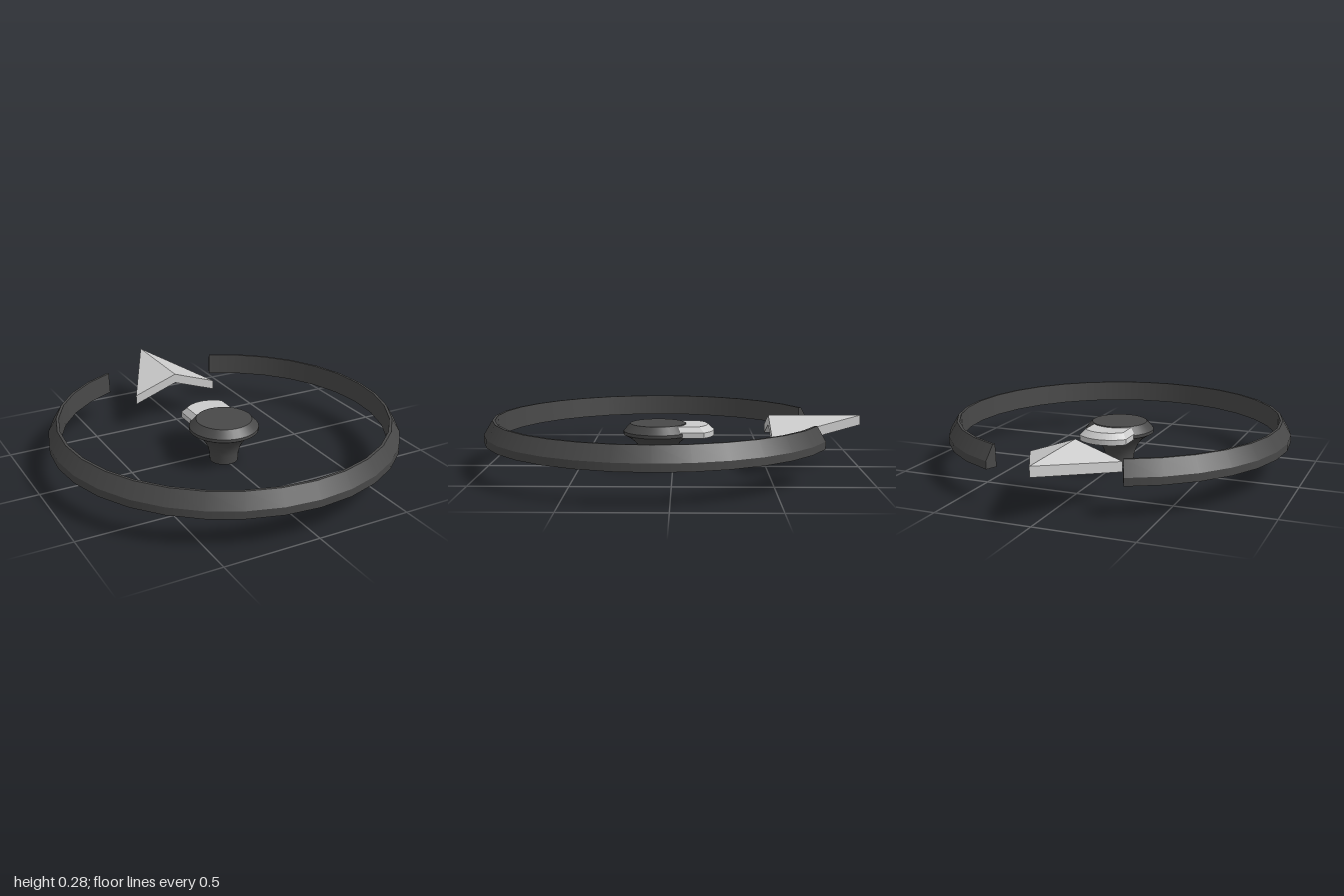
import * as THREE from 'three';
import { mergeGeometries } from 'three/addons/utils/BufferGeometryUtils.js';

const CENTRE_Z = 0.08;
const dark = new THREE.MeshStandardMaterial({ color: 0x484848 });
const darkDouble = new THREE.MeshStandardMaterial({ color: 0x484848, side: THREE.DoubleSide });
const grey = new THREE.MeshStandardMaterial({ color: 0xcccccc });

const vec = (points) => points.map(([x, y]) => new THREE.Vector2(x, y));

function addMesh(parent, name, geometry, material) {
  const mesh = new THREE.Mesh(geometry, material);
  mesh.name = name;
  parent.add(mesh);
  return mesh;
}

// Each band is smooth; borders between bands stay sharp
function latheBands(bands, segments, start = 0, length = Math.PI * 2) {
  return mergeGeometries(bands.map((b) => new THREE.LatheGeometry(vec(b), segments, start, length)));
}

// Open ring with a gap at the back
function createRing() {
  const ring = new THREE.Group();
  ring.name = 'ring';
  const section = [[0.853, 0.16], [0.917, 0.16], [0.917, 0.2], [0.872, 0.275], [0.858, 0.275]];
  const bands = section.map((p, i) => [p, section[(i + 1) % section.length]]);
  const end = Math.PI * 7 / 8;
  addMesh(ring, 'ringBand', latheBands(bands, 28, -end, end * 2), dark);
  for (const phi of [-end, end]) {
    const cap = addMesh(ring, 'ringEnd', new THREE.ShapeGeometry(new THREE.Shape(vec(section))), darkDouble);
    cap.rotation.y = phi - Math.PI / 2;
  }
  ring.position.z = CENTRE_Z;
  return ring;
}

// Flared thumbstick with a bevelled cap
function createStick() {
  const flare = [[0.075, 0], [0.079, 0.05], [0.088, 0.08], [0.102, 0.11], [0.123, 0.138], [0.15, 0.16], [0.185, 0.18]];
  const bands = [
    [[0, 0], [0.075, 0]],
    flare,
    [[0.185, 0.18], [0.185, 0.197]],
    [[0.185, 0.197], [0.148, 0.237]],
    [[0.148, 0.237], [0, 0.237]],
  ];
  const stick = new THREE.Mesh(latheBands(bands, 32), dark);
  stick.name = 'stick';
  stick.position.z = CENTRE_Z;
  return stick;
}

// Rounded tab behind the cap, its top layer drawn in to form a bevel
function createTab() {
  const angle = Math.acos(0.13 / 0.18);
  const shape = new THREE.Shape();
  shape.moveTo(-0.13, -0.04);
  shape.lineTo(0.13, -0.04);
  shape.absarc(0, 0, 0.18, angle, Math.PI - angle, false);
  shape.closePath();
  const geometry = new THREE.ExtrudeGeometry(shape, { depth: 0.058, steps: 2, bevelEnabled: false, curveSegments: 8 });
  const pos = geometry.attributes.position;
  for (let i = 0; i < pos.count; i++) {
    if (pos.getZ(i) > 0.05) pos.setXY(i, pos.getX(i) * 0.82, pos.getY(i) * 0.82);
  }
  geometry.computeVertexNormals();
  geometry.rotateX(-Math.PI / 2);
  geometry.translate(0, 0.175, -0.04);
  const tab = new THREE.Mesh(geometry, grey);
  tab.name = 'tab';
  return tab;
}

// Folded arrowhead: a chevron section tapering to a vertical edge at the tip
function createArrow() {
  const slope = 0.35, half = 0.247, length = 0.49, thick = 0.052;
  const drop = slope * half;
  const shape = new THREE.Shape(vec([
    [-half, -drop - thick], [0, -thick], [half, -drop - thick], [half, -drop], [0, 0], [-half, -drop],
  ]));
  const geometry = new THREE.ExtrudeGeometry(shape, { depth: length, bevelEnabled: false });
  const pos = geometry.attributes.position;
  for (let i = 0; i < pos.count; i++) {
    const x = pos.getX(i);
    const tapered = x * pos.getZ(i) / length;
    pos.setXY(i, tapered, pos.getY(i) + slope * (Math.abs(x) - Math.abs(tapered)));
  }
  geometry.computeVertexNormals();
  geometry.translate(0, 0.281, -1);
  const arrow = new THREE.Mesh(geometry, grey);
  arrow.name = 'arrow';
  return arrow;
}

export function createModel() {
  const model = new THREE.Group();
  model.name = 'directionControl';
  model.add(createRing(), createStick(), createTab(), createArrow());
  return model;
}
